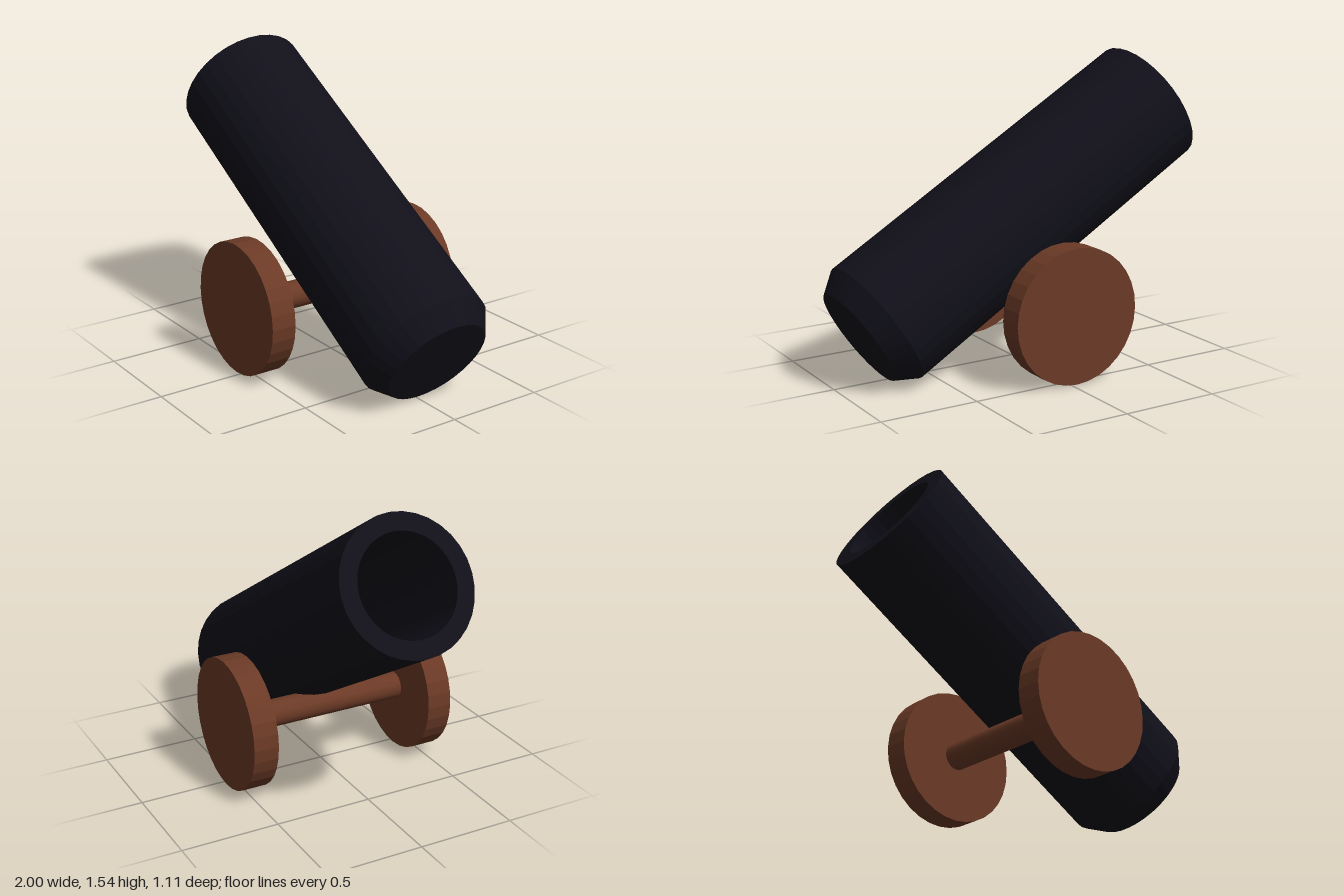
import * as THREE from 'three';

export function createModel() {
  const model = new THREE.Group();
  const iron = new THREE.MeshStandardMaterial({ color: 0x11101a, flatShading: true });
  const wood = new THREE.MeshStandardMaterial({ color: 0x6b3a26, flatShading: true });

  // Barrel: chamfered breech, straight tube, open bore at the muzzle
  const profile = [
    [0, 0], [0.266, 0], [0.339, 0.109], [0.339, 1.97],
    [0.25, 1.97], [0.25, 0.4], [0, 0.4],
  ].map(([r, y]) => new THREE.Vector2(r, y));
  const barrel = new THREE.Mesh(new THREE.LatheGeometry(profile, 32), iron);
  barrel.name = 'barrel';
  barrel.position.set(0.862, 0.237, -0.003);
  barrel.rotation.z = THREE.MathUtils.degToRad(59);
  model.add(barrel);

  // Round parts lying across the model, along z
  const addDisc = (name, radius, length, z) => {
    const mesh = new THREE.Mesh(new THREE.CylinderGeometry(radius, radius, length, 32), wood);
    mesh.name = name;
    mesh.rotation.x = Math.PI / 2;
    mesh.position.set(-0.03, 0.34, z);
    model.add(mesh);
  };
  addDisc('axle', 0.07, 0.9, 0);
  addDisc('frontWheel', 0.34, 0.13, 0.49);
  addDisc('backWheel', 0.34, 0.13, -0.49);

  return model;
}
